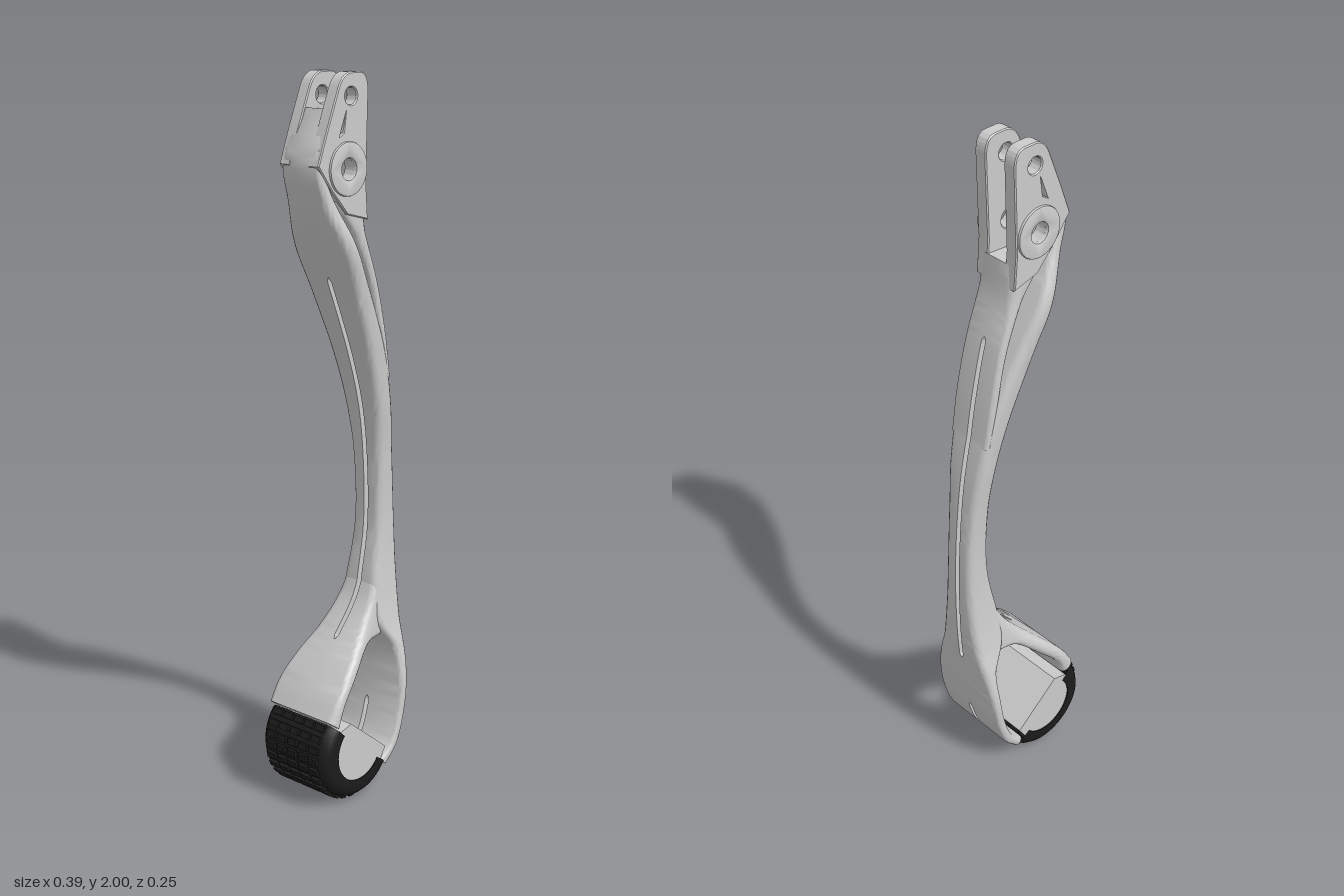
import * as THREE from 'three';
import { toCreasedNormals } from 'three/addons/utils/BufferGeometryUtils.js';

const grey = new THREE.MeshStandardMaterial({ color: 0xcccccc });
const rubber = new THREE.MeshStandardMaterial({ color: 0x1c1c1c, side: THREE.DoubleSide });
const SLOT = 0.007;

// The narrow central slot splits the beam between these heights
const slotAt = (y) => ((y > 0.43 && y < 1.47) || (y > 0.1 && y < 0.21) ? SLOT : 0);

// Half of a bar: rows are [ax, ay, bx, by, halfWidth], ordered downwards,
// where a and b are the two edges of the bar in side view.
function halfBar(rows, steps) {
  const edgeA = new THREE.CatmullRomCurve3(rows.map((r) => new THREE.Vector3(r[0], r[1], r[4])));
  const edgeB = new THREE.CatmullRomCurve3(rows.map((r) => new THREE.Vector3(r[2], r[3], r[4])));
  const pos = [], idx = [], arc = 4;
  let n = 0;
  for (let j = 0; j <= steps; j++) {
    const a = edgeA.getPoint(j / steps), b = edgeB.getPoint(j / steps);
    const w = a.z, L = Math.hypot(b.x - a.x, b.y - a.y);
    const r = Math.min(0.022, L * 0.45, w * 0.4);
    const zi = slotAt((a.y + b.y) / 2);
    const section = [[0, zi]];
    for (let k = 0; k <= arc; k++) {
      const t = (k / arc) * Math.PI / 2;
      section.push([r - r * Math.cos(t), w - r + r * Math.sin(t)]);
    }
    for (let k = 0; k <= arc; k++) {
      const t = (k / arc) * Math.PI / 2;
      section.push([L - r + r * Math.sin(t), w - r + r * Math.cos(t)]);
    }
    section.push([L, zi]);
    n = section.length;
    for (const [d, z] of section) {
      pos.push(a.x + (b.x - a.x) * d / L, a.y + (b.y - a.y) * d / L, z);
    }
  }
  for (let j = 0; j < steps; j++) {
    for (let i = 0; i < n; i++) {
      const p = j * n + i, q = j * n + (i + 1) % n;
      idx.push(p, p + n, q, q, p + n, q + n);
    }
  }
  const end = steps * n;
  for (let k = 1; k < n - 1; k++) {
    idx.push(0, k, k + 1, end, end + k + 1, end + k);
  }
  const geo = new THREE.BufferGeometry();
  geo.setAttribute('position', new THREE.Float32BufferAttribute(pos, 3));
  geo.setIndex(idx);
  return toCreasedNormals(geo, 0.6);
}

// Adds a part and its mirror image across z = 0
function addPair(group, name, geo, material = grey) {
  for (const side of [1, -1]) {
    const mesh = new THREE.Mesh(geo, material);
    mesh.name = name;
    mesh.scale.z = side;
    group.add(mesh);
  }
}

function circleHole(shape, x, y, r) {
  shape.holes.push(new THREE.Path().absarc(x, y, r, 0, Math.PI * 2, true));
}

export function createModel() {
  const leg = new THREE.Group();
  leg.name = 'leg';

  // Main beam, from the rear web of the fork down to the front of the foot
  addPair(leg, 'mainBeam', halfBar([
    [-0.09, 1.91, -0.07, 1.9, 0.06],
    [-0.148, 1.77, -0.118, 1.77, 0.064],
    [-0.125, 1.67, -0.09, 1.69, 0.072],
    [-0.075, 1.55, -0.03, 1.57, 0.1],
    [-0.02, 1.42, 0.037, 1.44, 0.09],
    [0.05, 1.24, 0.118, 1.26, 0.075],
    [0.09, 1.1, 0.157, 1.1, 0.065],
    [0.11, 0.95, 0.177, 0.95, 0.053],
    [0.113, 0.75, 0.19, 0.75, 0.05],
    [0.085, 0.57, 0.19, 0.57, 0.064],
    [0.085, 0.48, 0.185, 0.47, 0.08],
    [0.132, 0.39, 0.177, 0.39, 0.105],
    [0.135, 0.3, 0.165, 0.29, 0.122],
    [0.12, 0.2, 0.147, 0.19, 0.125],
    [0.09, 0.12, 0.117, 0.11, 0.125],
    [0.05, 0.08, 0.075, 0.06, 0.122],
  ], 120));

  // Rear branch closing the ankle window
  addPair(leg, 'rearBranch', halfBar([
    [0.1, 0.62, 0.17, 0.56, 0.055],
    [0.065, 0.54, 0.125, 0.44, 0.068],
    [0.0, 0.458, 0.045, 0.43, 0.085],
    [-0.07, 0.385, -0.04, 0.355, 0.11],
    [-0.125, 0.32, -0.1, 0.29, 0.122],
    [-0.16, 0.265, -0.12, 0.235, 0.124],
  ], 40));

  // Front strut joining the fork to the beam
  addPair(leg, 'frontStrut', halfBar([
    [-0.085, 1.675, 0.036, 1.685, 0.062],
    [0.003, 1.57, 0.047, 1.58, 0.066],
    [0.062, 1.44, 0.086, 1.45, 0.068],
    [0.095, 1.3, 0.12, 1.3, 0.07],
    [0.118, 1.18, 0.14, 1.18, 0.068],
  ], 40));

  // Fork plates with pin hole, pivot hole and a slim relief
  const plate = new THREE.Shape();
  plate.moveTo(-0.15, 1.77);
  plate.lineTo(-0.1, 1.705);
  plate.lineTo(-0.04, 1.64);
  plate.lineTo(0.04, 1.62);
  plate.lineTo(0.033, 1.72);
  plate.lineTo(0.04, 1.95);
  plate.quadraticCurveTo(0.04, 2.0, 0.005, 2.0);
  plate.lineTo(-0.03, 2.0);
  plate.quadraticCurveTo(-0.06, 1.995, -0.075, 1.96);
  plate.lineTo(-0.12, 1.85);
  circleHole(plate, -0.027, 1.94, 0.022);
  circleHole(plate, -0.04, 1.757, 0.028);
  plate.holes.push(new THREE.Path([
    new THREE.Vector2(-0.045, 1.905), new THREE.Vector2(-0.07, 1.84), new THREE.Vector2(-0.055, 1.85),
  ]));
  const plateGeo = new THREE.ExtrudeGeometry(plate, {
    depth: 0.032, bevelThickness: 0.003, bevelSize: 0.003, bevelOffset: -0.003, bevelSegments: 1, curveSegments: 24,
  });
  plateGeo.translate(0, 0, 0.034);
  addPair(leg, 'forkPlate', toCreasedNormals(plateGeo, 0.5));

  // Raised pivot bosses
  const boss = new THREE.Shape().absarc(-0.04, 1.757, 0.07, 0, Math.PI * 2, false);
  circleHole(boss, -0.04, 1.757, 0.028);
  const bossGeo = new THREE.ExtrudeGeometry(boss, {
    depth: 0.014, bevelThickness: 0.004, bevelSize: 0.004, bevelOffset: -0.004, bevelSegments: 2, curveSegments: 32,
  });
  bossGeo.translate(0, 0, 0.058);
  addPair(leg, 'pivotBoss', toCreasedNormals(bossGeo, 0.5));

  // Foot core: disc sector with a sloping top
  const foot = new THREE.Group();
  foot.name = 'foot';
  foot.position.set(-0.045, 0.152, 0);
  leg.add(foot);
  const start = THREE.MathUtils.degToRad(136), end = THREE.MathUtils.degToRad(325);
  const core = new THREE.Shape();
  core.absarc(0, 0, 0.11, start, end, false);
  core.lineTo(0.11, -0.03);
  core.lineTo(-0.035, 0.088);
  const coreGeo = new THREE.ExtrudeGeometry(core, { depth: 0.244, bevelEnabled: false, curveSegments: 40 });
  coreGeo.translate(0, 0, -0.122);
  const coreMesh = new THREE.Mesh(toCreasedNormals(coreGeo, 0.5), grey);
  coreMesh.name = 'footCore';
  foot.add(coreMesh);

  // Rubber sole with rounded shoulders
  const profile = [[0.09, -0.12], [0.09, -0.125], [0.115, -0.125], [0.13, -0.12], [0.139, -0.11], [0.143, -0.095]];
  const mirrored = profile.map(([r, z]) => [r, -z]).reverse();
  const soleGeo = new THREE.LatheGeometry(
    [...profile, ...mirrored].map(([r, z]) => new THREE.Vector2(r, z)), 48, start + Math.PI / 2, end - start);
  soleGeo.rotateX(Math.PI / 2);
  const sole = new THREE.Mesh(toCreasedNormals(soleGeo, 0.7), rubber);
  sole.name = 'sole';
  foot.add(sole);

  // Tread lugs in five rows
  const lugGeo = new THREE.BoxGeometry(0.018, 0.018, 0.031);
  for (let row = -2; row <= 2; row++) {
    for (let i = 0; i < 15; i++) {
      const angle = start + (end - start) * (i + 0.5) / 15;
      const lug = new THREE.Mesh(lugGeo, rubber);
      lug.name = 'treadLug';
      lug.position.set(Math.cos(angle) * 0.143, Math.sin(angle) * 0.143, row * 0.04);
      lug.rotation.z = angle;
      foot.add(lug);
    }
  }
  return leg;
}
